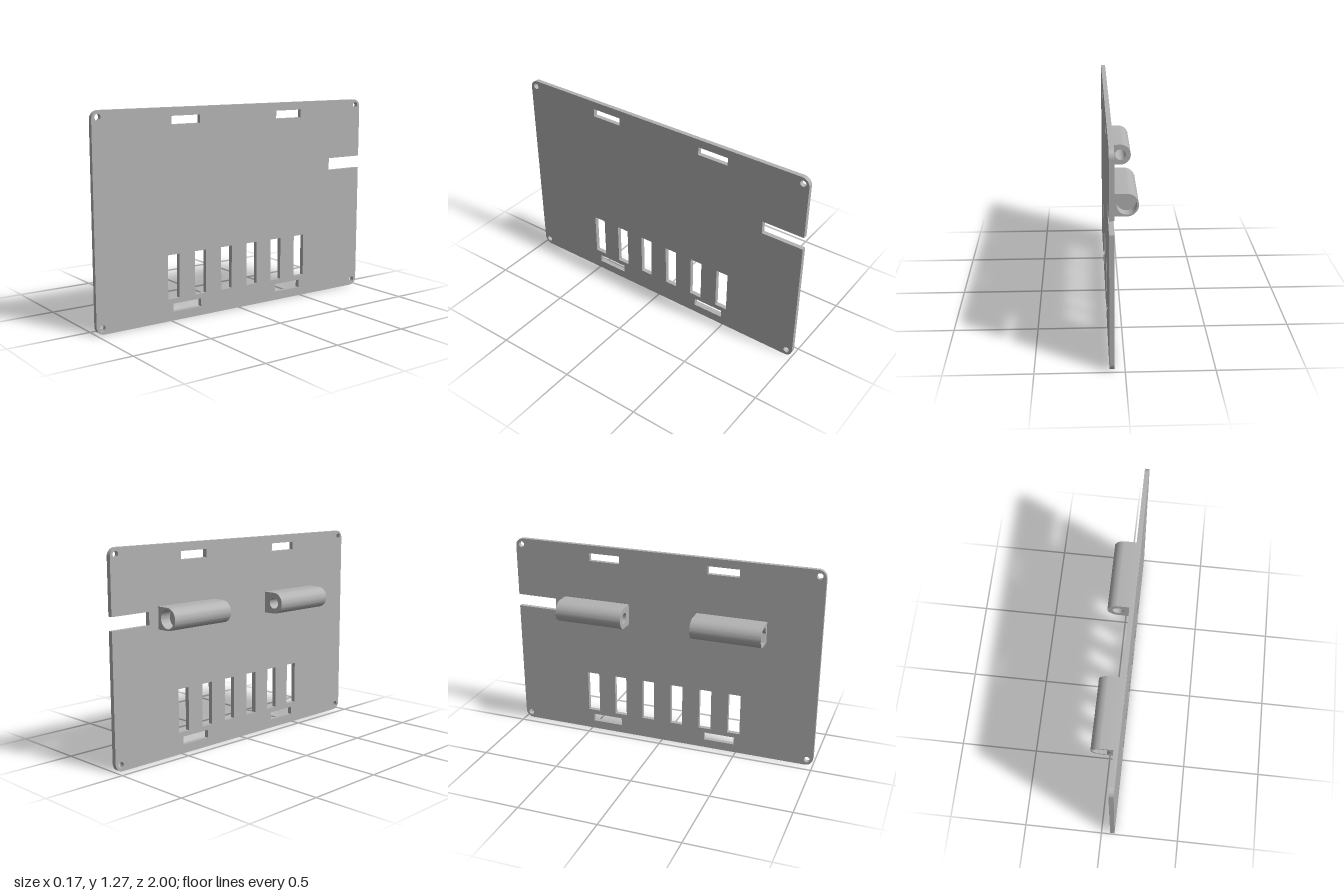
import * as THREE from 'three';
import { mergeGeometries, toCreasedNormals } from 'three/addons/utils/BufferGeometryUtils.js';

const grey = new THREE.MeshStandardMaterial({ color: 0xb2b2b2 });
grey.name = 'grey plastic';

const HEIGHT = 1.275, PLATE_X = 0.058, THICK = 0.028;
const BOSS_X = -0.021, BOSS_Y = 0.852, BOSS_R = 0.067;

function rectHole(cx, cy, w, h) {
  const p = new THREE.Path();
  p.moveTo(cx - w / 2, cy - h / 2);
  p.lineTo(cx - w / 2, cy + h / 2);
  p.lineTo(cx + w / 2, cy + h / 2);
  p.lineTo(cx + w / 2, cy - h / 2);
  p.closePath();
  return p;
}

function roundHole(cx, cy, r) {
  return new THREE.Path().absarc(cx, cy, r, 0, Math.PI * 2, true);
}

function hexHole(cx, cy, r) {
  const pts = [];
  for (let i = 0; i < 6; i++) {
    const a = -i * Math.PI / 3;
    pts.push(new THREE.Vector2(cx + r * Math.cos(a), cy + r * Math.sin(a)));
  }
  return new THREE.Path(pts).closePath();
}

// Upright plate, drawn with u = -z and extruded along x
function makePlate() {
  const r = 0.05, q = Math.PI / 2;
  const s = new THREE.Shape();
  s.moveTo(-1 + r, 0);
  s.absarc(1 - r, r, r, -q, 0, false);
  // open notch in the rear edge
  s.lineTo(1, 0.815);
  s.lineTo(0.735, 0.815);
  s.lineTo(0.735, 0.895);
  s.lineTo(1, 0.895);
  s.absarc(1 - r, HEIGHT - r, r, 0, q, false);
  s.absarc(-1 + r, HEIGHT - r, r, q, 2 * q, false);
  s.absarc(-1 + r, r, r, 2 * q, 3 * q, false);

  for (const side of [-1, 1]) {
    // screw holes and strap slots
    for (const y of [0.038, HEIGHT - 0.038]) s.holes.push(roundHole(side * 0.962, y, 0.019));
    for (const y of [0.08, 1.2]) s.holes.push(rectHole(side * 0.387, y, 0.2, 0.05));
    // vent slots
    for (const u of [0.097, 0.29, 0.482]) s.holes.push(rectHole(side * u, 0.27, 0.08, 0.27));
  }
  const geo = new THREE.ExtrudeGeometry(s, { depth: THICK, bevelEnabled: false, curveSegments: 10 });
  geo.rotateY(Math.PI / 2).translate(PLATE_X, 0, 0);
  const mesh = new THREE.Mesh(toCreasedNormals(geo, 0.5), grey);
  mesh.name = 'plate';
  return mesh;
}

// One length of the D-shaped boss, with an optional hole along z
function bossSegment(z0, z1, hole) {
  const s = new THREE.Shape();
  s.moveTo(PLATE_X, BOSS_Y - BOSS_R);
  s.lineTo(PLATE_X, BOSS_Y + BOSS_R);
  s.absarc(BOSS_X, BOSS_Y, BOSS_R, Math.PI / 2, Math.PI * 1.5, false);
  if (hole) s.holes.push(hole);
  const geo = new THREE.ExtrudeGeometry(s, { depth: z1 - z0, bevelEnabled: false, curveSegments: 24 });
  return geo.translate(0, 0, z0);
}

function makeBoss(name, segments) {
  const geo = mergeGeometries(segments.map(([z0, z1, hole]) => bossSegment(z0, z1, hole)));
  const mesh = new THREE.Mesh(toCreasedNormals(geo, 0.5), grey);
  mesh.name = name;
  return mesh;
}

export function createModel() {
  const group = new THREE.Group();
  group.name = 'mountingPlate';
  const bolt = () => roundHole(BOSS_X, BOSS_Y, 0.035);
  group.add(
    makePlate(),
    // nut pocket at the front, bolt hole behind a thin wall
    makeBoss('nutBoss', [
      [0.225, 0.57, bolt()],
      [0.57, 0.58, null],
      [0.58, 0.667, hexHole(BOSS_X, BOSS_Y, 0.058)],
    ]),
    // round bolt head recess at the rear
    makeBoss('boltHeadBoss', [
      [-0.667, -0.6, roundHole(BOSS_X, BOSS_Y, 0.056)],
      [-0.6, -0.59, null],
      [-0.59, -0.225, bolt()],
    ]),
  );
  return group;
}
